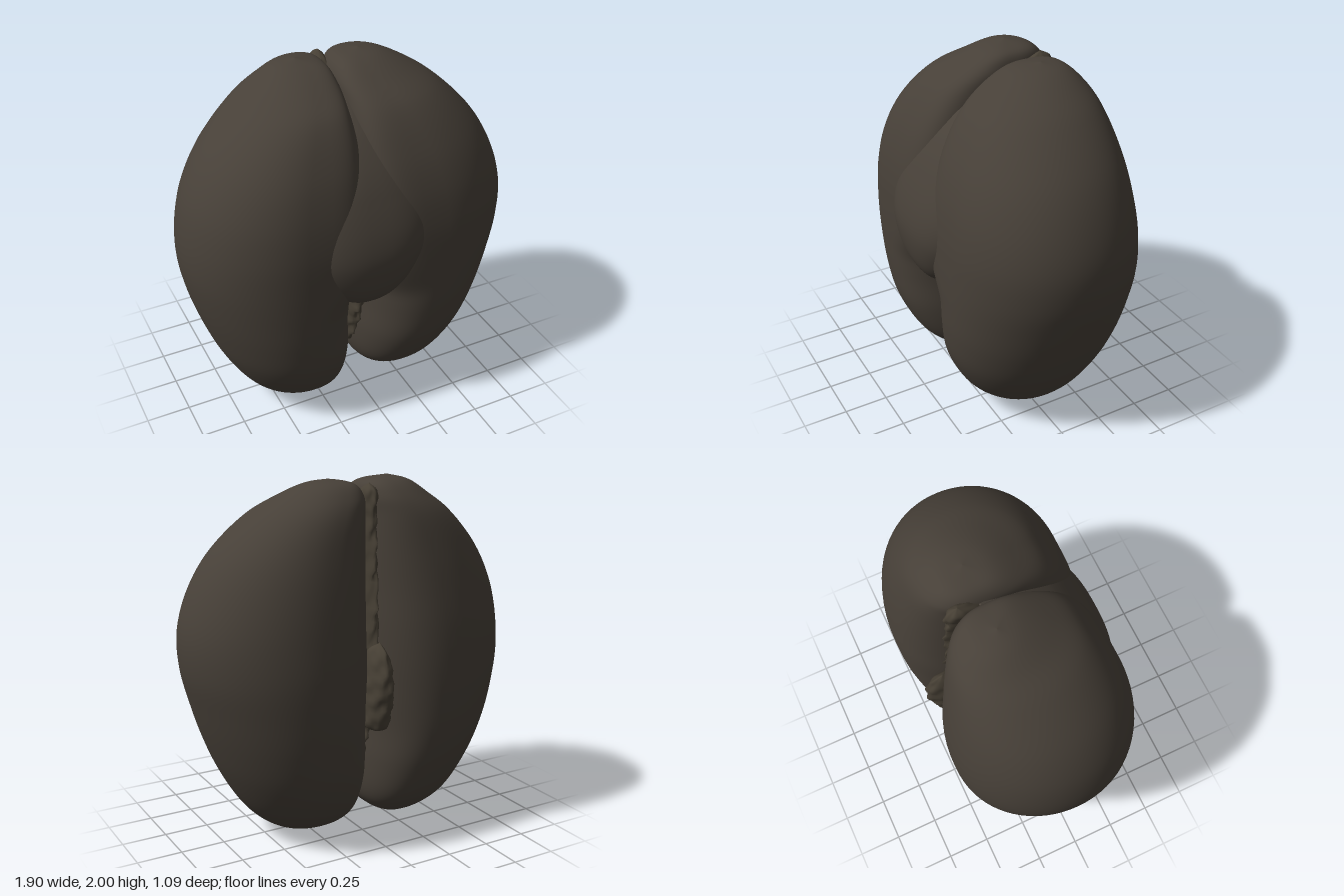
import * as THREE from 'three';

const shell = new THREE.MeshStandardMaterial({ color: 0x474038 });
shell.name = 'dark brown shell';
const fibre = new THREE.MeshStandardMaterial({ color: 0x463f34 });
fibre.name = 'olive brown fibre';

const { smoothstep } = THREE.MathUtils;

// Closed solid lofted through rounded sections; each row is [y, xMin, xMax, zBack, zFront].
// crest: where across the width (0 to 1) a section is thickest
function loft(name, rows, material, { power = () => 2, crest = 0.5, rough = 0, rings = 80, sides = 72 } = {}) {
  const xs = new THREE.CatmullRomCurve3(rows.map(r => new THREE.Vector3(r[1], r[0], r[2])), false, 'centripetal');
  const zs = new THREE.CatmullRomCurve3(rows.map(r => new THREE.Vector3(r[3], r[0], r[4])), false, 'centripetal');
  const bend = (v, n) => Math.sign(v) * Math.pow(Math.abs(v), 2 / n);
  const pos = [], index = [];
  for (let j = 0; j <= rings; j++) {
    const a = xs.getPoint(j / rings), b = zs.getPoint(j / rings);
    const width = Math.max(0, a.z - a.x), cx = a.x + width * crest;
    const cz = (b.x + b.z) / 2, hz = Math.max(0, (b.z - b.x) / 2);
    const y = (a.y + b.y) / 2;
    for (let i = 0; i < sides; i++) {
      const t = (i / sides) * Math.PI * 2, c = Math.cos(t), s = Math.sin(t);
      const n = power(c, s, cx, y);
      const hx = width * (c > 0 ? 1 - crest : crest);
      // fibrous parts get an uneven surface
      const k = 1 + rough * (Math.sin(y * 57 + 3 * t) + Math.sin(y * 91 - 5 * t) + Math.sin(y * 23 + 7 * t)) / 3;
      pos.push(cx + hx * bend(c, n) * k, y, cz + hz * bend(s, n) * k);
      if (j < rings) {
        const p = j * sides + i, q = j * sides + (i + 1) % sides;
        index.push(p, p + sides, q, q, p + sides, q + sides);
      }
    }
  }
  const g = new THREE.BufferGeometry();
  g.setAttribute('position', new THREE.Float32BufferAttribute(pos, 3));
  g.setIndex(index);
  g.computeVertexNormals();
  const mesh = new THREE.Mesh(g, material);
  mesh.name = name;
  return mesh;
}

// Lobe sections are squarer towards the cleft, most of all on the upper front where the lobes merge
function lobePower(c, s, cx, y) {
  if (c * cx > 0) return 2.05;
  if (s < 0) return 2.5;
  return 2.4 + 2 * smoothstep(y, 0.72, 1.05) * (1 - 0.6 * smoothstep(y, 1.65, 1.95));
}

export function createModel() {
  const model = new THREE.Group();
  model.name = 'doubleSeed';

  // Two large lobes
  model.add(loft('leftLobe', [
    [0.03, 0.29, 0.29, 0, 0],
    [0.045, 0.15, 0.42, -0.16, 0.15],
    [0.1, 0.05, 0.52, -0.27, 0.26],
    [0.2, 0.0, 0.62, -0.375, 0.36],
    [0.4, -0.02, 0.74, -0.475, 0.455],
    [0.6, -0.01, 0.825, -0.52, 0.49],
    [0.8, -0.01, 0.89, -0.54, 0.5],
    [1.0, -0.02, 0.94, -0.545, 0.5],
    [1.2, -0.02, 0.945, -0.53, 0.49],
    [1.4, -0.02, 0.89, -0.505, 0.455],
    [1.6, -0.02, 0.78, -0.47, 0.38],
    [1.8, -0.015, 0.585, -0.42, 0.25],
    [1.9, -0.01, 0.435, -0.365, 0.11],
    [1.965, 0.04, 0.3, -0.29, -0.02],
    [1.99, 0.17, 0.17, -0.16, -0.16],
  ], shell, { power: lobePower, crest: 0.44 }));
  model.add(loft('rightLobe', [
    [0, -0.33, -0.33, 0.01, 0.01],
    [0.02, -0.46, -0.21, -0.15, 0.16],
    [0.1, -0.59, -0.11, -0.28, 0.28],
    [0.2, -0.68, -0.07, -0.37, 0.37],
    [0.4, -0.79, -0.055, -0.46, 0.46],
    [0.6, -0.865, -0.06, -0.51, 0.49],
    [0.8, -0.92, -0.04, -0.53, 0.5],
    [1.0, -0.95, -0.02, -0.535, 0.5],
    [1.2, -0.94, -0.01, -0.525, 0.49],
    [1.4, -0.89, -0.01, -0.5, 0.455],
    [1.6, -0.78, -0.01, -0.465, 0.385],
    [1.8, -0.585, -0.02, -0.415, 0.26],
    [1.9, -0.435, -0.025, -0.36, 0.12],
    [1.97, -0.32, -0.06, -0.28, -0.02],
    [2.0, -0.2, -0.2, -0.15, -0.15],
  ], shell, { power: lobePower, crest: 0.56 }));

  // Swelling that joins the lobes in front, pointed below and sinking into the cleft above
  model.add(loft('frontSwelling', [
    [0.73, -0.03, -0.03, 0.32, 0.32],
    [0.76, -0.14, 0.08, 0.2, 0.42],
    [0.83, -0.25, 0.18, 0.08, 0.49],
    [0.93, -0.35, 0.27, 0.02, 0.53],
    [1.08, -0.42, 0.35, 0, 0.548],
    [1.22, -0.43, 0.38, 0, 0.525],
    [1.4, -0.4, 0.36, -0.02, 0.455],
    [1.55, -0.28, 0.26, -0.05, 0.37],
    [1.7, -0.17, 0.14, -0.1, 0.24],
    [1.84, -0.08, 0.05, -0.2, 0.04],
    [1.91, -0.02, -0.02, -0.15, -0.15],
  ], shell, { power: () => 2.5 }));

  // Fibrous husk left inside the cleft
  const husk = new THREE.Group();
  husk.name = 'cleftHusk';
  husk.add(loft('huskCore', [
    [0.25, -0.03, -0.03, 0, 0],
    [0.28, -0.07, 0.0, -0.12, 0.15],
    [0.5, -0.08, 0.02, -0.22, 0.26],
    [0.75, -0.1, 0.05, -0.28, 0.3],
    [1.1, -0.06, 0.03, -0.36, 0.2],
    [1.5, -0.05, 0.03, -0.36, 0.1],
    [1.8, -0.05, 0.03, -0.34, -0.05],
    [1.93, -0.05, 0.02, -0.33, -0.2],
    [1.97, -0.015, -0.015, -0.27, -0.27],
  ], fibre, { rough: 0.1, rings: 90, sides: 40 }));
  husk.add(loft('backKnob', [
    [0.64, 0.0, 0.0, -0.38, -0.38],
    [0.67, -0.06, 0.05, -0.45, -0.3],
    [0.8, -0.08, 0.065, -0.49, -0.25],
    [0.95, -0.07, 0.055, -0.51, -0.25],
    [1.08, -0.045, 0.03, -0.47, -0.3],
    [1.14, -0.01, -0.01, -0.4, -0.4],
  ], fibre, { rough: 0.1, rings: 40, sides: 32 }));
  model.add(husk);
  return model;
}
